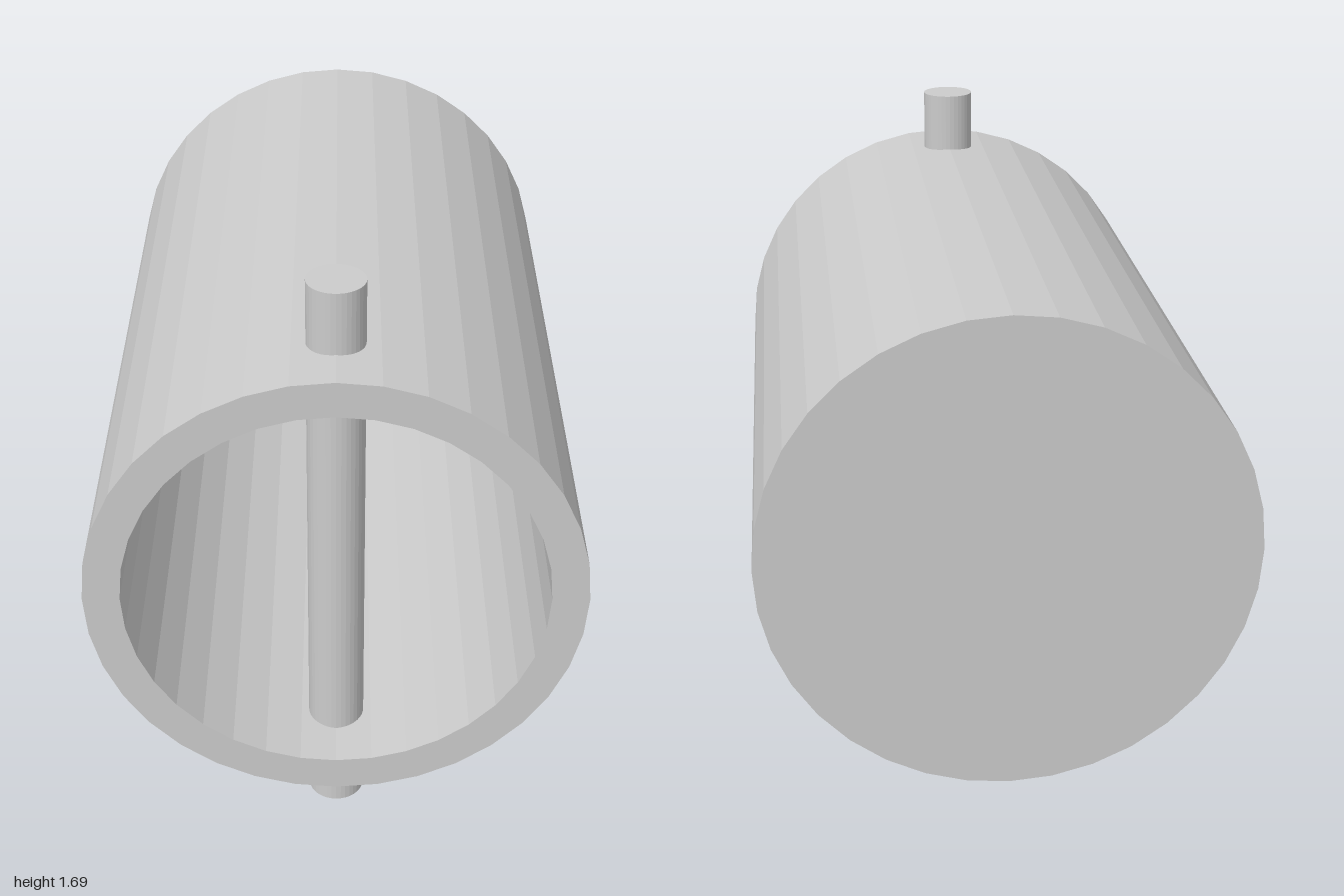
import * as THREE from 'three';

const SIDES = 36;
const OUTER = 0.67, INNER = 0.57, WALL = 0.1;
const PIN_RADIUS = 0.078, PIN_LENGTH = 1.69, PIN_Z = 0.79;

export function createModel() {
  const model = new THREE.Group();
  model.name = 'cupWithCrossPin';
  const material = new THREE.MeshStandardMaterial({ color: 0xcccccc, flatShading: true });

  // Hollow cylinder, closed at the back and open at the front
  const profile = [
    [0, -1], [OUTER, -1], [OUTER, 1], [INNER, 1], [INNER, -1 + WALL], [0, -1 + WALL],
  ].map(([r, h]) => new THREE.Vector2(r, h));
  const cup = new THREE.Mesh(new THREE.LatheGeometry(profile, SIDES), material);
  cup.name = 'cup';
  cup.rotation.x = Math.PI / 2;
  cup.position.y = PIN_LENGTH / 2;
  model.add(cup);

  // Vertical pin passing through both walls near the open end
  const pin = new THREE.Mesh(
    new THREE.CylinderGeometry(PIN_RADIUS, PIN_RADIUS, PIN_LENGTH, SIDES), material);
  pin.name = 'crossPin';
  pin.position.set(0, PIN_LENGTH / 2, PIN_Z);
  model.add(pin);

  return model;
}
